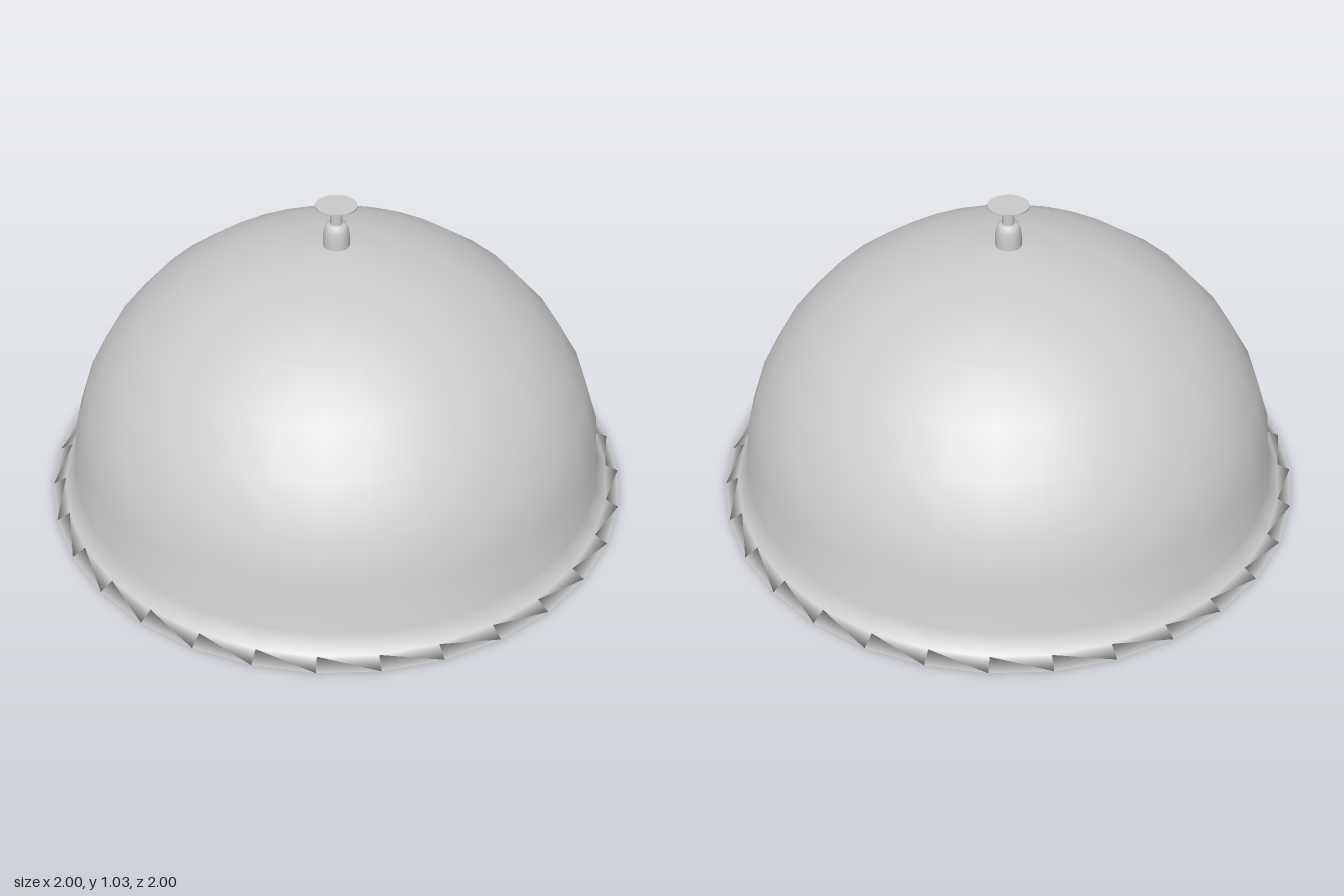
import * as THREE from 'three';

const SEGMENTS = 32;

export function createModel() {
  const group = new THREE.Group();
  const material = new THREE.MeshStandardMaterial({ color: 0xcccccc, side: THREE.DoubleSide });

  const add = (name, geometry, y = 0) => {
    const mesh = new THREE.Mesh(geometry, material);
    mesh.name = name;
    mesh.position.y = y;
    group.add(mesh);
  };
  const lathe = (profile) =>
    new THREE.LatheGeometry(profile.map(([r, y]) => new THREE.Vector2(r, y)), SEGMENTS);

  // Dome with closed base and flared rim
  add('dome', lathe([
    [0, 0], [1, 0], [0.955, 0.022], [0.915, 0.075], [0.898, 0.235],
    [0.845, 0.39], [0.762, 0.53], [0.647, 0.658], [0.505, 0.76],
    [0.353, 0.833], [0.176, 0.88], [0, 0.893],
  ]));

  // Tapered collar on the crown
  add('collar', lathe([
    [0.043, 0.88], [0.043, 0.925], [0.039, 0.95], [0.033, 0.967], [0.02, 0.969],
  ]));

  // Plunger stem and its thin press plate
  add('stem', new THREE.CylinderGeometry(0.02, 0.02, 0.08, SEGMENTS), 0.99);
  add('pressPlate', new THREE.CylinderGeometry(0.067, 0.067, 0.005, SEGMENTS), 1.032);

  return group;
}
